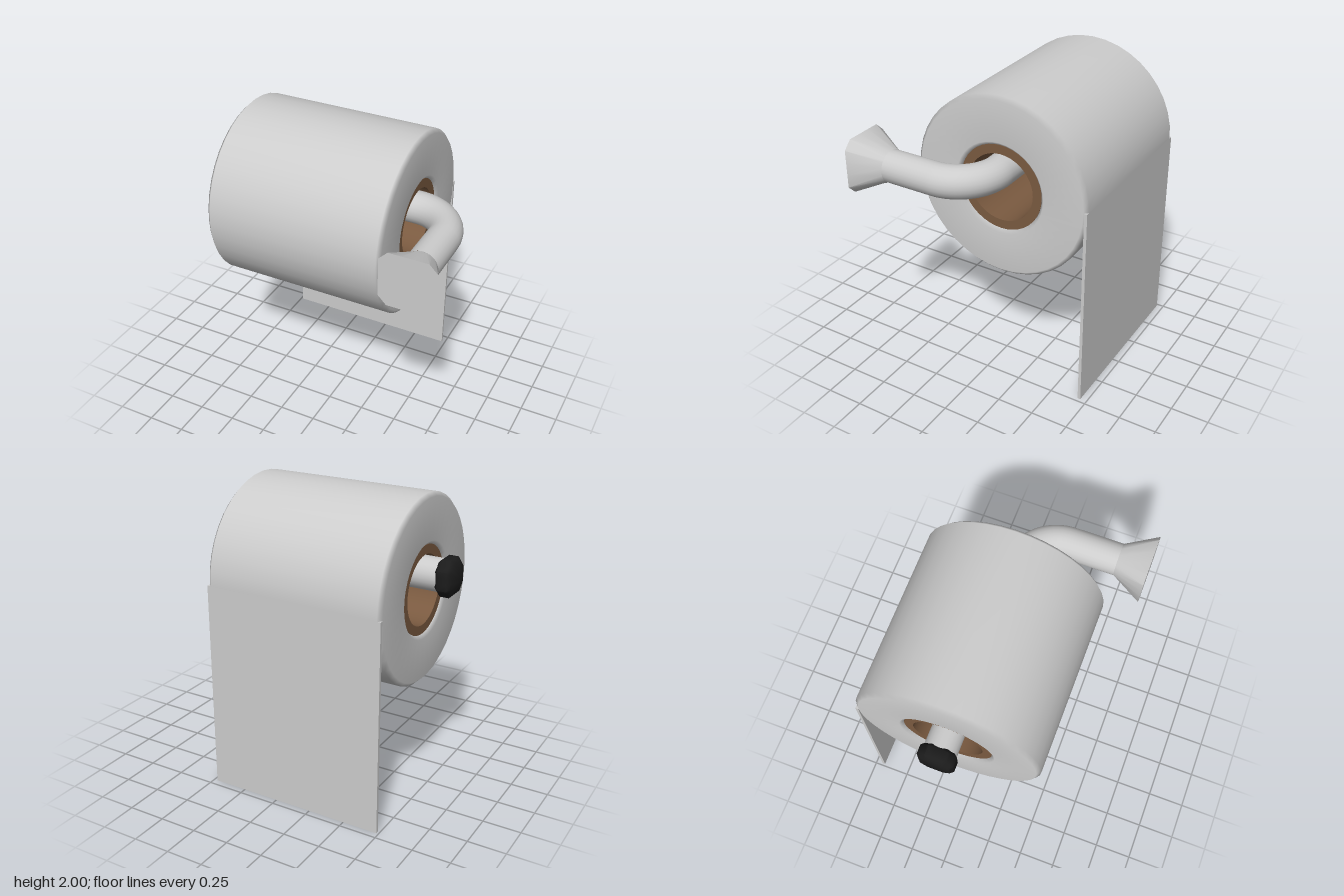
import * as THREE from 'three';
import { toCreasedNormals } from 'three/addons/utils/BufferGeometryUtils.js';

const V = (x, y, z) => new THREE.Vector3(x, y, z);
const ROLL = { x: -0.13, y: 1.395, z: -0.1, r: 0.605, half: 0.605, bore: 0.285 };
const ROD = { y: 1.51, z: -0.095, r: 0.105 };

// Outline of a square with cut corners, each edge split in three
function cutSquare(half, cut) {
  const k = half - cut;
  const c = [[half, -k], [half, k], [k, half], [-k, half], [-half, k], [-half, -k], [-k, -half], [k, -half]];
  const out = [];
  c.forEach((a, i) => {
    const b = c[(i + 1) % 8];
    for (let s = 0; s < 3; s++) out.push([a[0] + (b[0] - a[0]) * s / 3, a[1] + (b[1] - a[1]) * s / 3]);
  });
  return out;
}

// Skin over outlines stacked along +z, with flat ends
function loft(rings, crease) {
  const n = rings[0].pts.length, pos = [], idx = [];
  rings.forEach(r => r.pts.forEach(p => pos.push(p[0], p[1], r.z)));
  for (let i = 0; i < rings.length - 1; i++) {
    for (let j = 0; j < n; j++) {
      const a = i * n + j, b = i * n + (j + 1) % n;
      idx.push(a, b, a + n, b, b + n, a + n);
    }
  }
  const last = (rings.length - 1) * n;
  for (let j = 1; j < n - 1; j++) {
    idx.push(0, j + 1, j);
    idx.push(last, last + j, last + j + 1);
  }
  const g = new THREE.BufferGeometry();
  g.setAttribute('position', new THREE.Float32BufferAttribute(pos, 3));
  g.setIndex(idx);
  return toCreasedNormals(g, crease);
}

export function createModel() {
  const model = new THREE.Group();
  model.name = 'toiletRollHolder';
  const mat = (name, color) => {
    const m = new THREE.MeshStandardMaterial({ color });
    m.name = name;
    return m;
  };
  const paper = mat('paper white', 0xcccccc);
  const card = mat('cardboard brown', 0x7a5a40);
  const rubber = mat('rubber black', 0x1c1c1c);
  const add = (name, geo, material, x = 0, y = 0, z = 0) => {
    const m = new THREE.Mesh(geo, material);
    m.name = name;
    m.position.set(x, y, z);
    model.add(m);
    return m;
  };

  // Paper roll: hollow cylinder with small bevels, lying along x
  const { r, half: h, bore } = ROLL, b = 0.025;
  const rollProfile = [
    [bore, 0], [bore, -h + b], [bore + b, -h], [r - b, -h], [r, -h + b],
    [r, h - b], [r - b, h], [bore + b, h], [bore, h - b], [bore, 0],
  ].map(p => new THREE.Vector2(...p));
  const roll = new THREE.LatheGeometry(rollProfile, 40).rotateZ(-Math.PI / 2);
  add('paperRoll', roll, paper, ROLL.x, ROLL.y, ROLL.z);

  // Cardboard core
  const t = h - 0.02, inner = 0.227, outer = bore + 0.002;
  const coreProfile = [[inner, -t], [outer, -t], [outer, t], [inner, t], [inner, -t]]
    .map(p => new THREE.Vector2(...p));
  const core = toCreasedNormals(new THREE.LatheGeometry(coreProfile, 40), 0.6).rotateZ(-Math.PI / 2);
  add('cardboardCore', core, card, ROLL.x, ROLL.y, ROLL.z);

  // Loose sheet hanging down at the back
  add('hangingSheet', new THREE.BoxGeometry(2 * h, ROLL.y, 0.02), paper,
    ROLL.x, ROLL.y / 2, ROLL.z - r + 0.01);

  // Rod: straight through the core, then a quarter bend towards the wall
  const path = new THREE.CurvePath();
  const bend = 0.275, k = bend * 0.5523, ex = 0.74, sx = ex - bend, bz = ROD.z + bend;
  path.add(new THREE.LineCurve3(V(-0.84, ROD.y, ROD.z), V(sx, ROD.y, ROD.z)));
  path.add(new THREE.CubicBezierCurve3(V(sx, ROD.y, ROD.z), V(sx + k, ROD.y, ROD.z),
    V(ex, ROD.y, bz - k), V(ex, ROD.y, bz)));
  path.add(new THREE.LineCurve3(V(ex, ROD.y, bz), V(ex, ROD.y, 0.5)));
  add('rod', new THREE.TubeGeometry(path, 90, ROD.r, 24), paper);

  // Flared wall mount: round at the rod, cut-corner square at the wall
  const plate = cutSquare(0.18, 0.055);
  const round = plate.map(([x, y]) => {
    const s = ROD.r / Math.hypot(x, y);
    return [x * s, y * s];
  });
  add('wallMount', loft([{ pts: round, z: 0.5 }, { pts: plate, z: 0.705 }], 0.6), paper, ex, ROD.y, 0);

  // Bevelled end cap on the free end
  const big = cutSquare(0.115, 0.055), small = cutSquare(0.095, 0.045);
  const cap = add('endCap', loft([
    { pts: small, z: 0 }, { pts: big, z: 0.02 }, { pts: big, z: 0.08 }, { pts: small, z: 0.1 },
  ], 0.9), rubber, -0.825, ROD.y, ROD.z);
  cap.rotation.y = -Math.PI / 2;

  return model;
}
